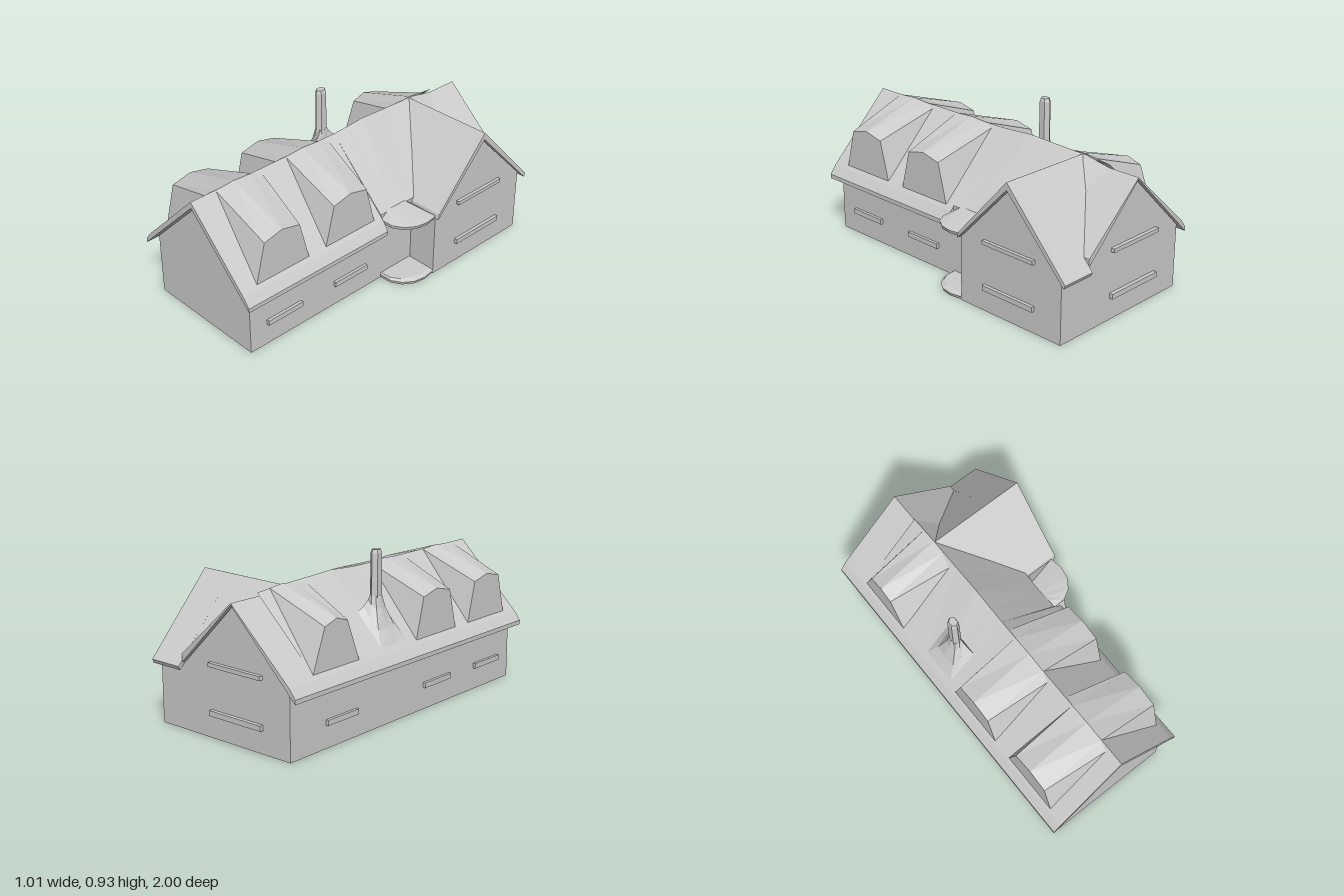
import * as THREE from 'three';

const RIDGE_X = -0.077;
const material = new THREE.MeshStandardMaterial({ color: 0xcccccc, flatShading: true });

// Closed solid through matching loops of [x, y, z]; winding is fixed by its volume
function loft(name, sections) {
  const tris = [];
  const n = sections[0].length;
  for (let s = 0; s < sections.length - 1; s++) {
    const a = sections[s], b = sections[s + 1];
    for (let i = 0; i < n; i++) {
      const j = (i + 1) % n;
      tris.push([a[i], a[j], b[j]], [a[i], b[j], b[i]]);
    }
  }
  const first = sections[0], last = sections[sections.length - 1];
  for (let i = 1; i < n - 1; i++) {
    tris.push([first[0], first[i + 1], first[i]], [last[0], last[i], last[i + 1]]);
  }
  const v = (p) => new THREE.Vector3(...p);
  const volume = tris.reduce((sum, [a, b, c]) => sum + v(a).dot(v(b).cross(v(c))), 0);
  const points = tris.flatMap(([a, b, c]) => (volume < 0 ? [a, c, b] : [a, b, c])).flat();
  const geometry = new THREE.BufferGeometry();
  geometry.setAttribute('position', new THREE.Float32BufferAttribute(points, 3));
  geometry.computeVertexNormals();
  const mesh = new THREE.Mesh(geometry, material);
  mesh.name = name;
  return mesh;
}

const alongZ = (profile, z) => profile.map(([x, y]) => [x, y, z]);
const alongX = (profile, x) => profile.map(([z, y]) => [x, y, z]);

function bar(name, x0, x1, y0, y1, z0, z1) {
  const mesh = new THREE.Mesh(new THREE.BoxGeometry(x1 - x0, y1 - y0, z1 - z0), material);
  mesh.position.set((x0 + x1) / 2, (y0 + y1) / 2, (z0 + z1) / 2);
  mesh.name = name;
  return mesh;
}

// Dormer whose roof climbs from the face at the wall to the main ridge
function dormer(name, zs, faces) {
  const ys = [0.415, 0.645, 0.673, 0.645, 0.415];
  const ridgeYs = [0.775, 0.784, 0.792, 0.784, 0.775];
  const section = (x, heights) => zs.map((z, i) => [x, heights[i], z]);
  const sections = [section(-0.455, ys), section(RIDGE_X, ridgeYs)];
  if (faces === 2) sections.push(section(0.3, ys));
  return loft(name, sections);
}

// Rounded slab against the recessed entrance wall, rising toward the wall
function entranceSlab(name, y0, y1, yInner, inset) {
  const outline = [[0.27, 0], [0.38, -0.005], [0.44, -0.04], [0.48, -0.1],
    [0.492, -0.17], [0.48, -0.248], [0.27, -0.248]];
  const ring = (y, k) => outline.map(([x, z]) =>
    [0.27 + (x - 0.27) * k, y, -0.124 + (z + 0.124) * k]);
  const top = outline.map(([x, z]) => [0.27 + (x - 0.27) * inset, yInner, -0.124 + (z + 0.124) * (0.5 + inset / 2)]);
  return loft(name, [ring(y0, 0.97), ring(y1, 1), top]);
}

export function createModel() {
  const group = new THREE.Group();

  // Gabled walls of the main house and the side wing
  const mainProfile = [[-0.455, 0], [0.3, 0], [0.3, 0.37], [RIDGE_X, 0.742], [-0.455, 0.37]];
  group.add(loft('mainWalls', [alongZ(mainProfile, 0.955), alongZ(mainProfile, -0.955)]));
  const wingProfile = [[-0.245, 0], [-0.955, 0], [-0.955, 0.375], [-0.6, 0.745], [-0.245, 0.375]];
  group.add(loft('wingWalls', [alongX(wingProfile, 0), alongX(wingProfile, 0.48)]));

  // Main roof slopes; the ridge swells over the entrance and drops at the back
  const ridge = [[1, 0.786], [0, 0.786], [-0.1, 0.791], [-0.22, 0.8], [-0.4, 0.793],
    [-0.62, 0.786], [-0.78, 0.757], [-0.975, 0.757]];
  const half = (s, y) => [[0, 0.748], [0.433, 0.32], [0.433, 0.345], [0.395, 0.395], [0, y]]
    .map(([d, h]) => [RIDGE_X + s * d, h]);
  const shortHalf = (y) => [[RIDGE_X, 0.748], [0.297, 0.378], [0.297, 0.424], [RIDGE_X, y]];
  group.add(loft('leftRoof', ridge.map(([z, y]) => alongZ(half(-1, y), z))));
  group.add(loft('rightRoof', ridge.slice(0, 2).map(([z, y]) => alongZ(half(1, y), z))));
  group.add(loft('entranceRoof', ridge.slice(1).map(([z, y]) => alongZ(shortHalf(y), z))));

  // Wing roof: front slope, back slope inside the valley, back slope with its eave
  const wingFront = (y) => [[-0.6, 0.75], [-0.6, y], [-0.25, 0.41], [-0.243, 0.378]];
  group.add(loft('wingFrontRoof', [alongX(wingFront(0.786), RIDGE_X), alongX(wingFront(0.793), 0.505)]));
  const valleyBack = (y) => [[-0.6, 0.75], [-0.6, y], [-0.945, 0.418], [-0.945, 0.385]];
  group.add(loft('wingValleyRoof', [alongX(valleyBack(0.786), RIDGE_X), alongX(valleyBack(0.79), 0.297)]));
  const wingBack = (y) => [[-0.6, 0.75], [-0.6, y], [-0.965, 0.397], [-1, 0.36], [-0.99, 0.338]];
  group.add(loft('wingBackRoof', [alongX(wingBack(0.79), 0.297), alongX(wingBack(0.793), 0.505)]));

  // Dormers: two pass through the ridge, the rear one faces left only
  for (const z of [0.235, 0.717]) {
    group.add(dormer('dormer', [-0.18, -0.12, 0, 0.12, 0.18].map((d) => z + d), 2));
  }
  group.add(dormer('rearDormer', [-0.785, -0.695, -0.605, -0.52, -0.43], 1));

  // Entrance canopy and doorstep
  group.add(entranceSlab('entranceCanopy', 0.372, 0.392, 0.43, 0.12));
  group.add(entranceSlab('doorstep', 0, 0.018, 0.03, 0.88));

  // Chimney flue
  const flueRing = (y, k) => Array.from({ length: 6 }, (_, i) => {
    const a = (i * Math.PI) / 3;
    return [-0.31 + 0.03 * k * Math.sin(a), y, -0.118 + 0.038 * k * Math.cos(a)];
  });
  group.add(loft('chimneyFlue', [flueRing(0.55, 1.05), flueRing(0.7, 1), flueRing(0.91, 0.95),
    flueRing(0.93, 0.75)]));

  // Flared chimney foot spreading onto the roof slope
  const clamp = (v) => THREE.MathUtils.clamp(v * 1.42, -1, 1);
  const footRing = (t, drop) => Array.from({ length: 8 }, (_, i) => {
    const a = (i * Math.PI) / 4;
    const top = [-0.31 + 0.028 * Math.cos(a), 0.68, -0.118 + 0.037 * Math.sin(a)];
    const x = -0.362 + 0.093 * clamp(Math.cos(a));
    const base = [x, 0.78 - (RIDGE_X - x), -0.122 + 0.122 * clamp(Math.sin(a))];
    return top.map((v, k) => THREE.MathUtils.lerp(v, base[k], k === 1 ? drop : t));
  });
  group.add(loft('chimneyFoot', [footRing(0, 0), footRing(0.12, 0.25), footRing(0.45, 0.62), footRing(1, 1)]));

  // Window sills on every side
  for (const [z0, z1] of [[0.6, 0.84], [0.12, 0.36]]) {
    group.add(bar('rightSill', 0.29, 0.317, 0.127, 0.157, z0, z1));
    group.add(bar('leftSill', -0.472, -0.445, 0.127, 0.157, z0, z1));
  }
  group.add(bar('leftSill', -0.472, -0.445, 0.127, 0.157, -0.69, -0.45));
  for (const [y0, y1] of [[0.127, 0.157], [0.393, 0.416]]) {
    group.add(bar('wingSill', 0.47, 0.499, y0, y1, -0.775, -0.42));
    group.add(bar('backSill', -0.27, 0.1, y0, y1, -0.977, -0.945));
  }

  return group;
}
